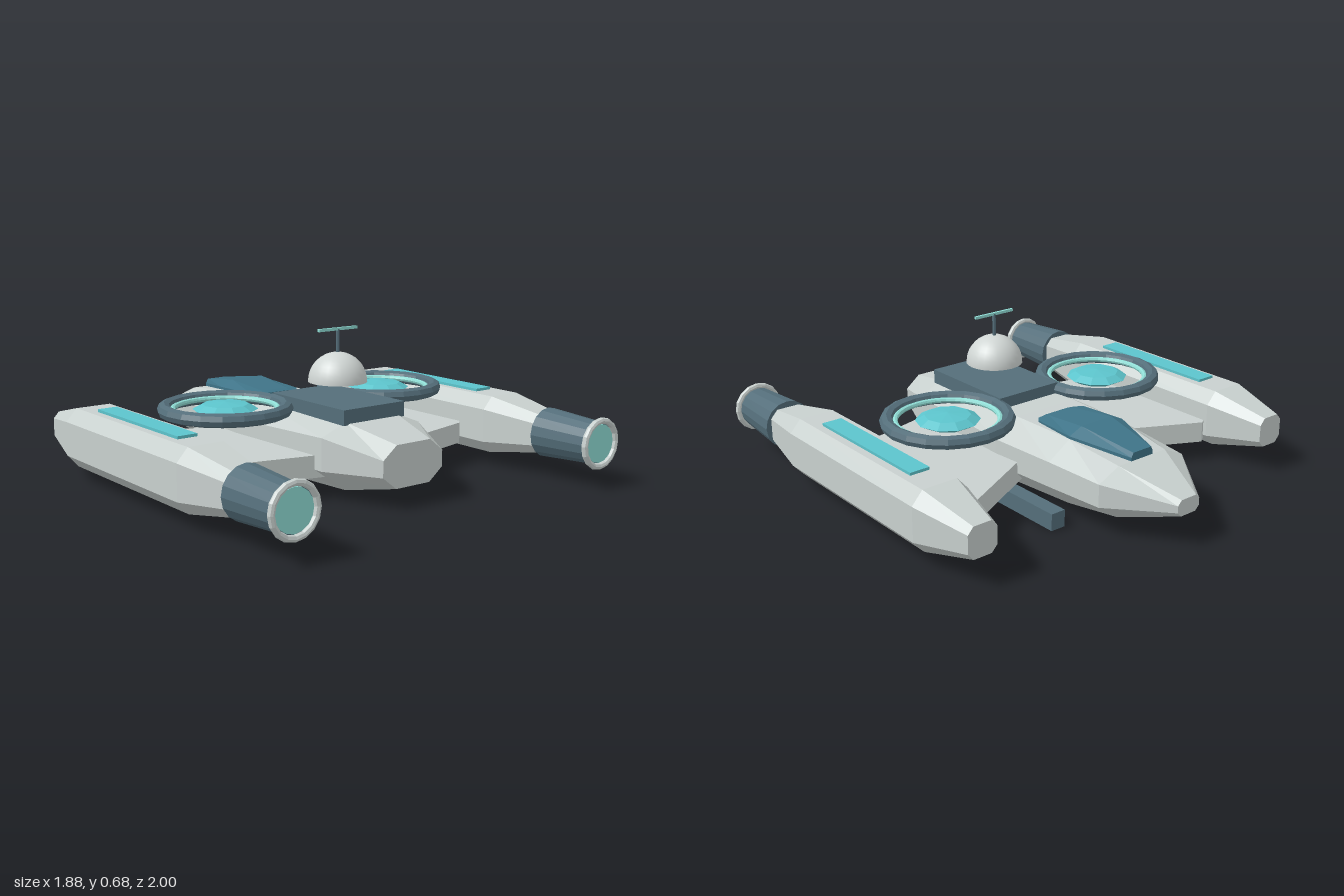
import * as THREE from 'three';

const mat = (color, opts = {}) => new THREE.MeshStandardMaterial({ color, flatShading: true, ...opts });

// Octagonal loft along z; station: [z, halfWidth, topHalf, bottomHalf, yTop, ySideTop, ySideBottom, yBottom]
function loft(stations) {
  const rings = stations.map(([z, w, t, b, y1, y2, y3, y4]) => [
    [w, y3, z], [w, y2, z], [t, y1, z], [-t, y1, z],
    [-w, y2, z], [-w, y3, z], [-b, y4, z], [b, y4, z],
  ]);
  const pos = [];
  const tri = (a, b, c) => pos.push(...a, ...b, ...c);
  for (let i = 0; i < rings.length - 1; i++) {
    for (let j = 0; j < 8; j++) {
      const k = (j + 1) % 8;
      tri(rings[i][j], rings[i][k], rings[i + 1][k]);
      tri(rings[i][j], rings[i + 1][k], rings[i + 1][j]);
    }
  }
  const first = rings[0], last = rings[rings.length - 1];
  for (let j = 1; j < 7; j++) {
    tri(first[0], first[j + 1], first[j]);
    tri(last[0], last[j], last[j + 1]);
  }
  const g = new THREE.BufferGeometry();
  g.setAttribute('position', new THREE.Float32BufferAttribute(pos, 3));
  g.computeVertexNormals();
  return g;
}

export function createModel() {
  const model = new THREE.Group();
  model.name = 'spacecraft';
  const hullMat = mat(0xc8d0ce);
  const darkMat = mat(0x546e7a);
  const glassMat = mat(0x3f7488);
  const tealMat = mat(0x5cc4cc);
  const glowMat = mat(0x90ded6);
  const smoothMat = mat(0xd0d6d4, { flatShading: false, side: THREE.DoubleSide });

  const add = (name, geometry, material, x = 0, y = 0, z = 0, parent = model) => {
    const m = new THREE.Mesh(geometry, material);
    m.name = name;
    m.position.set(x, y, z);
    parent.add(m);
    return m;
  };
  const box = (w, h, d) => new THREE.BoxGeometry(w, h, d);

  // Central body, nose at -z
  add('hull', loft([
    [-1, 0.06, 0.04, 0.04, 0.21, 0.19, 0.16, 0.14],
    [-0.74, 0.235, 0.13, 0.13, 0.29, 0.24, 0.14, 0.065],
    [-0.47, 0.26, 0.15, 0.15, 0.323, 0.25, 0.14, 0.033],
    [-0.15, 0.285, 0.16, 0.16, 0.325, 0.255, 0.14, 0.018],
    [0.44, 0.265, 0.14, 0.14, 0.32, 0.27, 0.13, 0.032],
    [0.7, 0.16, 0.09, 0.09, 0.265, 0.21, 0.14, 0.085],
  ]), hullMat);
  add('canopy', loft([
    [-0.74, 0.06, 0.05, 0.06, 0.325, 0.305, 0.285, 0.27],
    [-0.47, 0.15, 0.085, 0.15, 0.363, 0.335, 0.315, 0.3],
    [-0.25, 0.13, 0.07, 0.13, 0.34, 0.332, 0.315, 0.3],
    [-0.22, 0.105, 0.06, 0.105, 0.333, 0.328, 0.315, 0.3],
  ]), glassMat);

  // Upper deck, sensor dome and antenna
  add('deck', box(0.33, 0.065, 0.495), darkMat, 0, 0.3425, 0.2125);
  add('sensorDome', new THREE.SphereGeometry(0.128, 24, 10, 0, Math.PI * 2, 0, Math.PI / 2), smoothMat, 0, 0.443, 0.215);
  add('antennaMast', new THREE.CylinderGeometry(0.008, 0.008, 0.11, 8), darkMat, 0, 0.615, 0.215);
  add('antennaBar', box(0.21, 0.012, 0.012), glowMat, 0, 0.67, 0.215);

  for (const s of [1, -1]) {
    const side = new THREE.Group();
    side.name = s > 0 ? 'leftSide' : 'rightSide';
    model.add(side);
    const put = (name, g, m, x, y, z) => add(name, g, m, s * x, y, z, side);

    // Wing slab joining the hull to the pod
    const outline = [[0.15, -0.22], [0.655, -0.478], [0.7, -0.45], [0.7, 0.25], [0.655, 0.305], [0.15, 0.425]];
    const shape = new THREE.Shape(outline.map(([x, z]) => new THREE.Vector2(s * x, z)));
    const wing = new THREE.ExtrudeGeometry(shape, { depth: 0.095, bevelEnabled: false });
    add('wing', wing.rotateX(Math.PI / 2), hullMat, 0, 0.19, 0, side);

    // Lift ring with inner glow ring and flattened core
    const torus = (r, t, n) => new THREE.TorusGeometry(r, t, 8, n).rotateX(Math.PI / 2);
    put('liftRing', torus(0.26, 0.03, 20), darkMat, 0.43, 0.342, -0.01);
    put('liftGlowRing', torus(0.223, 0.012, 32), glowMat, 0.43, 0.342, -0.01);
    put('liftCore', new THREE.SphereGeometry(0.14, 10, 4).scale(1, 0.22, 1), tealMat, 0.43, 0.34, -0.01);

    // Outer pod with light strip
    const station = (z, k) => [z, 0.13 * k, 0.08 * k, 0.08 * k, 0.13 * k, 0.075 * k, -0.075 * k, -0.13 * k];
    put('pod', loft([station(-0.74, 0.52), station(-0.48, 1), station(0.43, 1), station(0.69, 0.66)]), hullMat, 0.81, 0.193, 0);
    put('podStrip', box(0.09, 0.02, 0.65), tealMat, 0.81, 0.325, -0.025);

    // Engine nozzle, rim and exhaust
    put('engine', new THREE.CylinderGeometry(0.092, 0.11, 0.28, 16).rotateX(Math.PI / 2), darkMat, 0.81, 0.195, 0.835);
    put('engineRim', new THREE.TorusGeometry(0.1, 0.014, 8, 16), hullMat, 0.81, 0.195, 0.985);
    put('exhaust', new THREE.CylinderGeometry(0.084, 0.084, 0.02, 16).rotateX(Math.PI / 2), glowMat, 0.81, 0.195, 0.975);

    // Landing skid
    put('skid', box(0.07, 0.075, 0.39), darkMat, 0.295, 0.0375, -0.375);
  }
  return model;
}
